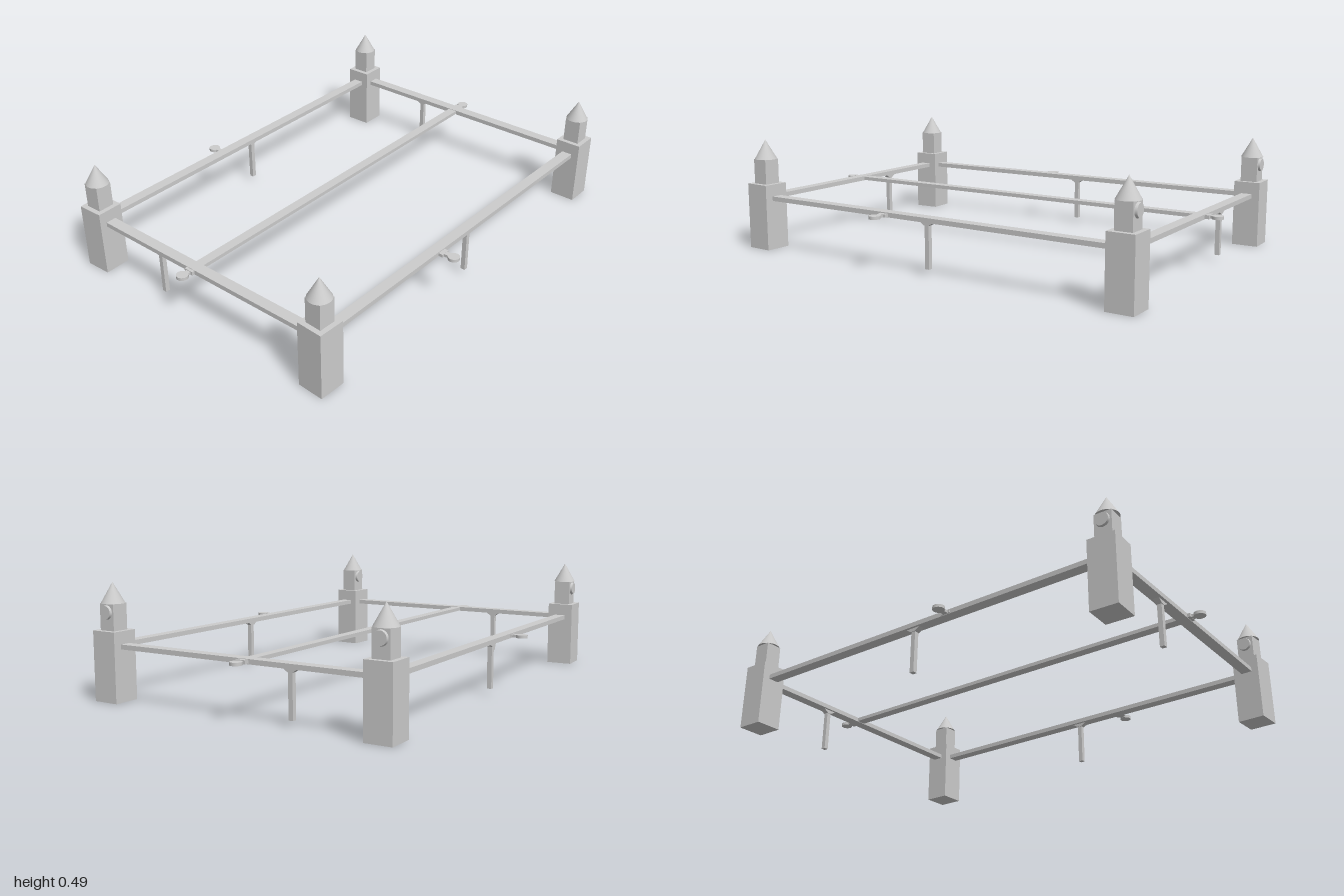
import * as THREE from 'three';

const material = new THREE.MeshStandardMaterial({ color: 0xcccccc });
const BEAM_Y = 0.23;

function addMesh(parent, name, geometry, x = 0, y = 0, z = 0) {
  const mesh = new THREE.Mesh(geometry, material);
  mesh.name = name;
  mesh.position.set(x, y, z);
  parent.add(mesh);
  return mesh;
}

// Corner tower: tall base, narrow upper storey, conical roof and a clock on one face
function createTower(name, x, z, turn, clockAngle) {
  const tower = new THREE.Group();
  tower.name = name;
  tower.position.set(x, 0, z);
  tower.rotation.y = turn;
  addMesh(tower, 'towerBase', new THREE.BoxGeometry(0.117, 0.293, 0.117), 0, 0.1465, 0);
  addMesh(tower, 'upperStorey', new THREE.BoxGeometry(0.074, 0.11, 0.074), 0, 0.348, 0);
  addMesh(tower, 'roof', new THREE.ConeGeometry(0.049, 0.086, 32), 0, 0.446, 0);

  // The clock is made facing +z, then swung round to its wall
  const clock = new THREE.Group();
  clock.name = 'clock';
  clock.rotation.y = clockAngle;
  const face = addMesh(clock, 'clockFace', new THREE.CylinderGeometry(0.027, 0.03, 0.012, 24), 0, 0.368, 0.041);
  face.rotation.x = Math.PI / 2;
  tower.add(clock);
  return tower;
}

// Flat beam between two tower centres
function createBeam(name, [x1, z1], [x2, z2]) {
  const dx = x2 - x1, dz = z2 - z1;
  const length = Math.hypot(dx, dz) - 0.1;
  const beam = new THREE.Mesh(new THREE.BoxGeometry(length, 0.02, 0.048), material);
  beam.name = name;
  beam.position.set((x1 + x2) / 2, BEAM_Y, (z1 + z2) / 2);
  beam.rotation.y = -Math.atan2(dz, dx);
  return beam;
}

// Hanging post with a flared bracket that runs along the beam
function createPost(name, x, z, turn) {
  const post = new THREE.Group();
  post.name = name;
  post.position.set(x, 0, z);
  post.rotation.y = turn;
  addMesh(post, 'postShaft', new THREE.BoxGeometry(0.02, 0.19, 0.02), 0, 0.12, 0);
  const outline = new THREE.Shape([
    new THREE.Vector2(-0.037, 0.222), new THREE.Vector2(-0.01, 0.205),
    new THREE.Vector2(0.01, 0.205), new THREE.Vector2(0.037, 0.222),
  ]);
  const bracket = new THREE.ExtrudeGeometry(outline, { depth: 0.026, bevelEnabled: false });
  addMesh(post, 'bracket', bracket, 0, 0, -0.013);
  return post;
}

// Round tab on a short neck, pointing along +x before turning
function createTab(name, x, z, turn) {
  const tab = new THREE.Group();
  tab.name = name;
  tab.position.set(x, BEAM_Y - 0.001, z);
  tab.rotation.y = turn;
  addMesh(tab, 'tabDisc', new THREE.CylinderGeometry(0.025, 0.025, 0.013, 20));
  addMesh(tab, 'tabNeck', new THREE.BoxGeometry(0.04, 0.012, 0.022), -0.03, 0, 0);
  addMesh(tab, 'tabRoot', new THREE.BoxGeometry(0.03, 0.013, 0.042), -0.055, 0, 0);
  return tab;
}

export function createModel() {
  const model = new THREE.Group();
  model.name = 'towerFrame';
  const backRight = [-0.645, -0.904], backLeft = [0.632, -0.907];
  const frontRight = [-0.626, 0.907], frontLeft = [0.606, 0.903];

  // Front clocks face -x, back clocks face -z
  model.add(
    createTower('frontRightTower', ...frontRight, 0.04, -Math.PI / 2),
    createTower('frontLeftTower', ...frontLeft, -0.05, -Math.PI / 2),
    createTower('backRightTower', ...backRight, 0.01, Math.PI),
    createTower('backLeftTower', ...backLeft, -0.01, Math.PI),
  );

  model.add(
    createBeam('frontBeam', frontRight, frontLeft),
    createBeam('backBeam', backRight, backLeft),
    createBeam('rightBeam', backRight, frontRight),
    createBeam('leftBeam', backLeft, frontLeft),
  );
  addMesh(model, 'middleBeam', new THREE.BoxGeometry(0.043, 0.016, 1.89), -0.048, BEAM_Y, -0.003);

  model.add(
    createPost('frontPost', -0.248, 0.905, 0),
    createPost('backPost', -0.25, -0.905, 0),
    createPost('rightPost', -0.636, -0.005, Math.PI / 2),
    createPost('leftPost', 0.62, -0.016, Math.PI / 2),
  );

  model.add(
    createTab('frontTab', -0.048, 0.974, -Math.PI / 2),
    createTab('backTab', -0.05, -0.976, Math.PI / 2),
    createTab('leftTab', 0.7, 0.195, 0),
    createTab('rightTab', -0.702, 0.175, Math.PI),
  );
  return model;
}
